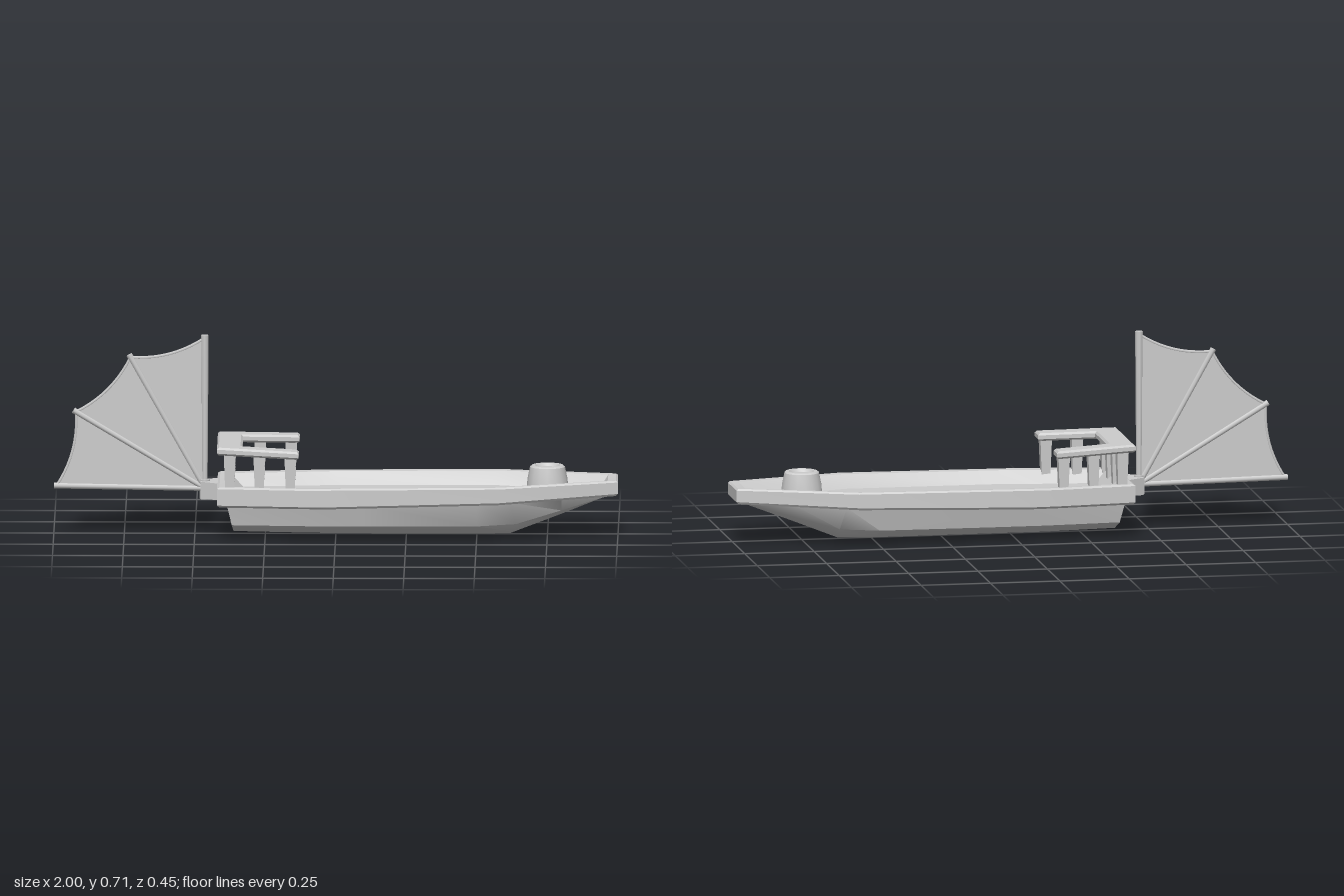
import * as THREE from 'three';
import { toCreasedNormals } from 'three/addons/utils/BufferGeometryUtils.js';

const grey = new THREE.MeshStandardMaterial({ color: 0xcccccc });
const greyDouble = new THREE.MeshStandardMaterial({ color: 0xcccccc, side: THREE.DoubleSide });
const V = (x, y, z) => new THREE.Vector3(x, y, z);

function add(parent, name, geometry, material = grey) {
  const mesh = new THREE.Mesh(geometry, material);
  mesh.name = name;
  parent.add(mesh);
  return mesh;
}

// Skin over rows of points; closed wraps both ways, capStart fills the first row
function loft(rows, closed, capStart, crease) {
  const n = rows[0].length, m = rows.length, index = [];
  for (let i = 0; i < (closed ? m : m - 1); i++) {
    for (let j = 0; j < (closed ? n : n - 1); j++) {
      const i2 = (i + 1) % m, j2 = (j + 1) % n;
      const a = i * n + j, b = i2 * n + j, c = i2 * n + j2, d = i * n + j2;
      index.push(a, b, d, b, c, d);
    }
  }
  if (capStart) for (let j = 1; j < n - 1; j++) index.push(0, j, j + 1);
  const g = new THREE.BufferGeometry().setFromPoints(rows.flat());
  g.setIndex(index);
  return toCreasedNormals(g, crease);
}

// Flat outline in x, z raised to a slab
function slab(points, depth, bevel = 0) {
  const shape = new THREE.Shape(points.map(([x, z]) => new THREE.Vector2(x, z)));
  return new THREE.ExtrudeGeometry(shape, {
    depth, bevelEnabled: bevel > 0, bevelSize: bevel, bevelThickness: bevel, bevelOffset: -bevel, bevelSegments: 1
  }).rotateX(-Math.PI / 2);
}
const mirrorZ = half => [...half, ...half.slice().reverse().map(([x, z]) => [x, -z])];

function rod(a, b, r0, r1, sides = 8) {
  const d = b.clone().sub(a);
  const g = new THREE.CylinderGeometry(r1, r0, d.length(), sides);
  g.applyQuaternion(new THREE.Quaternion().setFromUnitVectors(V(0, 1, 0), d.normalize()));
  const mid = a.clone().add(b).multiplyScalar(0.5);
  return g.translate(mid.x, mid.y, mid.z);
}

export function createModel() {
  const model = new THREE.Group();
  model.name = 'boat';

  // Lower hull: half sections from keel to gunwale as [x, y, z], stern to bow
  const sections = [
    [[-0.36, 0.012, 0], [-0.362, 0.024, 0.09], [-0.368, 0.055, 0.155], [-0.385, 0.13, 0.172]],
    [[-0.1, 0.006, 0], [-0.1, 0.02, 0.1], [-0.1, 0.055, 0.176], [-0.1, 0.135, 0.2]],
    [[0.1, 0.002, 0], [0.1, 0.02, 0.1], [0.1, 0.055, 0.178], [0.1, 0.135, 0.203]],
    [[0.5, 0.001, 0], [0.5, 0.02, 0.1], [0.5, 0.055, 0.175], [0.5, 0.14, 0.2]],
    [[0.62, 0.004, 0], [0.63, 0.022, 0.088], [0.64, 0.06, 0.152], [0.62, 0.142, 0.185]],
    [[0.8, 0.077, 0], [0.8, 0.082, 0.055], [0.8, 0.102, 0.105], [0.8, 0.148, 0.132]],
    [[0.975, 0.147, 0], [0.975, 0.148, 0.03], [0.975, 0.15, 0.06], [0.975, 0.155, 0.08]]
  ];
  const hullRows = sections.map(s => [
    ...s.slice(1).reverse().map(([x, y, z]) => V(x, y, -z)),
    ...s.map(([x, y, z]) => V(x, y, z))
  ]);
  add(model, 'hull', loft(hullRows, false, true, 0.8), greyDouble);

  // Gunwale: [outer x, outer z, deck x, deck z, bottom y, top y], stern to bow
  const deckY = 0.15;
  const stations = [
    [-0.42, 0.185, -0.33, 0.12, 0.122, 0.195],
    [-0.13, 0.218, -0.12, 0.14, 0.122, 0.195],
    [-0.03, 0.222, 0.02, 0.16, 0.122, 0.196],
    [0.58, 0.216, 0.56, 0.16, 0.137, 0.2],
    [1.0, 0.085, 0.93, 0.052, 0.15, 0.205]
  ];
  const ring = ([ox, oz, dx, dz, y0, y1], side) => {
    const at = (t, y) => V(ox + (dx - ox) * t, y, side * (oz + (dz - oz) * t));
    return [at(0.5, y0), at(0.1, y0), at(0, y0 + 0.008), at(0, y1 - 0.006), at(0.1, y1), at(0.5, y1 - 0.002), at(1, deckY)];
  };
  const gunwaleRows = [
    ...stations.map(s => ring(s, 1)),
    ...stations.slice().reverse().map(s => ring(s, -1))
  ];
  add(model, 'gunwale', loft(gunwaleRows, true, false, 0.45));

  // Deck floor
  const deckHalf = stations.map(s => [s[2], s[3]]);
  add(model, 'deck', slab(mirrorZ(deckHalf), 0.01)).position.y = deckY - 0.01;

  // Stern block that carries the fan sail
  add(model, 'sternBlock', slab(mirrorZ([[-0.48, 0.025], [-0.42, 0.065], [-0.38, 0.065]]), 0.06)).position.y = 0.13;

  // Hatch drum on the foredeck with a recessed top
  const drumProfile = [[0.076, 0.14], [0.071, 0.2], [0.062, 0.243], [0.056, 0.248], [0.045, 0.248], [0.038, 0.238], [0, 0.238]];
  const drum = new THREE.LatheGeometry(drumProfile.map(([r, y]) => new THREE.Vector2(r, y)), 16);
  add(model, 'bowDrum', toCreasedNormals(drum, 0.6)).position.x = 0.75;

  // U-shaped stern rail on tapered posts
  const sternRail = new THREE.Group();
  sternRail.name = 'sternRail';
  model.add(sternRail);
  const railHalf = [[-0.42, 0.187], [-0.13, 0.225], [-0.13, 0.155], [-0.33, 0.125]];
  const railGeometry = slab(mirrorZ(railHalf), 0.014, 0.007);
  const p = railGeometry.attributes.position;
  for (let i = 0; i < p.count; i++) p.setY(i, p.getY(i) + 0.317 - (p.getX(i) + 0.42) * 0.035);
  railGeometry.computeVertexNormals();
  add(sternRail, 'railTop', railGeometry);

  const posts = [[-0.375, 0.16], [-0.27, 0.167], [-0.16, 0.18], [-0.375, 0.055]];
  for (const [x, z] of posts) {
    for (const side of [1, -1]) {
      const post = new THREE.CylinderGeometry(0.03, 0.022, 0.15, 4).rotateY(Math.PI / 4).toNonIndexed();
      post.computeVertexNormals();
      add(sternRail, 'railPost', post).position.set(x, 0.245, side * z);
    }
  }

  // Fan sail: spars from one pivot, webs with hollow outer edges between them
  const fan = new THREE.Group();
  fan.name = 'fanSail';
  model.add(fan);
  const pivot = V(-0.465, 0.163, 0);
  const tips = [V(-0.465, 0.713, 0), V(-0.733, 0.642, 0), V(-0.93, 0.442, 0), V(-1, 0.172, 0)];
  tips.forEach((tip, i) => add(fan, 'spar', rod(pivot, tip, 0.01, i === 0 ? 0.014 : 0.011)));
  for (let i = 0; i < tips.length - 1; i++) {
    const a = tips[i].clone().lerp(pivot, 0.02), b = tips[i + 1].clone().lerp(pivot, 0.02);
    const c = a.clone().add(b).multiplyScalar(0.5).lerp(pivot, 0.09);
    const web = new THREE.Shape();
    web.moveTo(pivot.x, pivot.y);
    web.lineTo(a.x, a.y);
    web.quadraticCurveTo(c.x, c.y, b.x, b.y);
    web.closePath();
    add(fan, 'sailWeb', new THREE.ExtrudeGeometry(web, { depth: 0.008, bevelEnabled: false }).translate(0, 0, -0.004));
    add(fan, 'sailEdge', new THREE.TubeGeometry(new THREE.QuadraticBezierCurve3(a, c, b), 10, 0.006, 6));
  }
  add(fan, 'pivotBoss', new THREE.CylinderGeometry(0.018, 0.018, 0.07, 8)).position.set(-0.465, 0.16, 0);

  return model;
}
